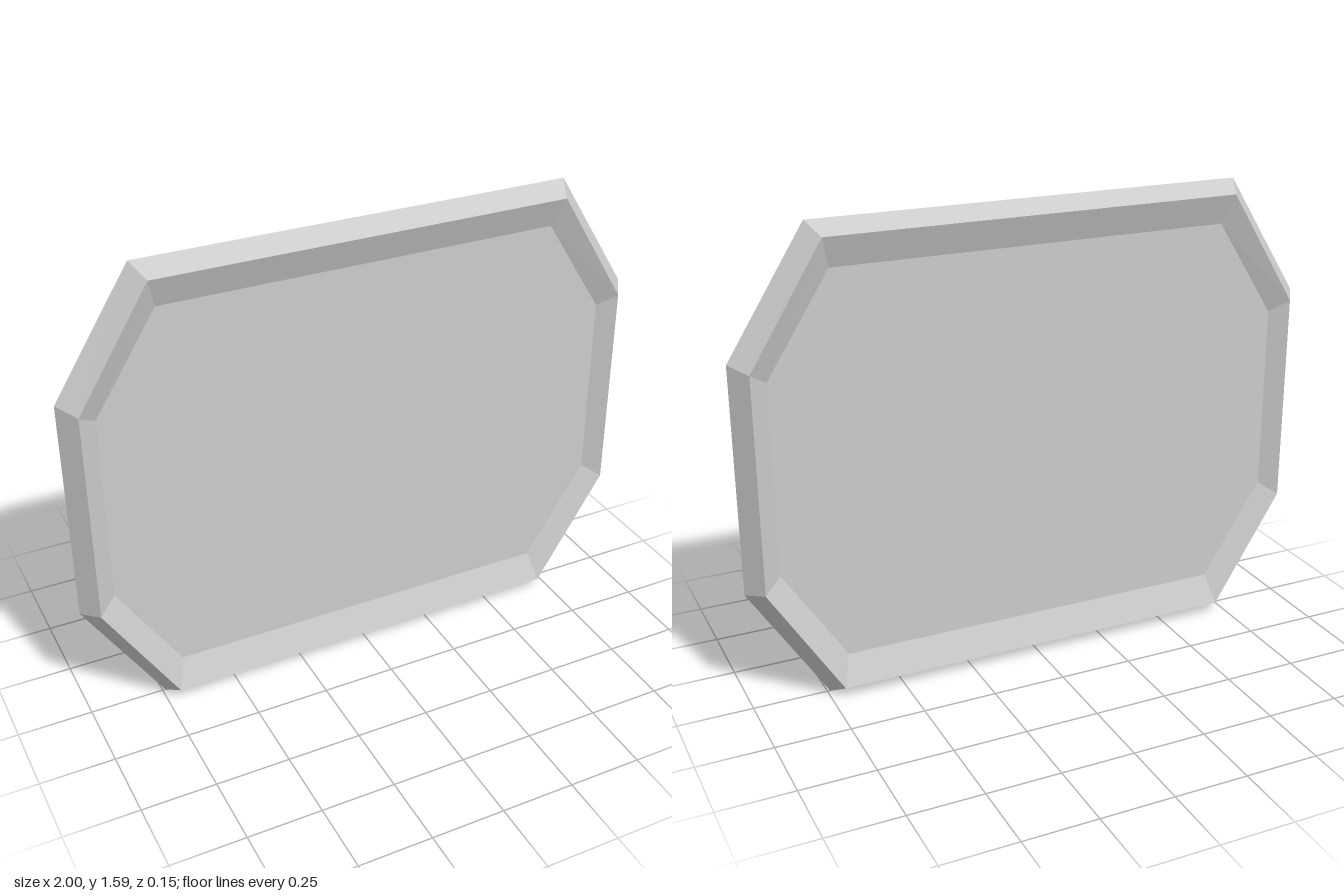
import * as THREE from 'three';

// Eight-sided outline at depth z, mirrored left-right and about the middle height:
// the flat bottom edge ends at (xEdge, yEdge), the upright side starts at (xSide, ySide)
const MID_Y = 0.795;
function ring(xEdge, xSide, yEdge, ySide, z) {
  const topEdge = 2 * MID_Y - yEdge, topSide = 2 * MID_Y - ySide;
  return [
    [xSide, ySide], [xSide, topSide], [xEdge, topEdge], [-xEdge, topEdge],
    [-xSide, topSide], [-xSide, ySide], [-xEdge, yEdge], [xEdge, yEdge],
  ].map(([x, y]) => new THREE.Vector3(x, y, z));
}

// Joins an outer ring to an inner one with flat facets
function band(outer, inner) {
  const points = [];
  for (let i = 0; i < 8; i++) {
    const j = (i + 1) % 8;
    points.push(outer[i], outer[j], inner[j], outer[i], inner[j], inner[i]);
  }
  return new THREE.BufferGeometry().setFromPoints(points);
}

// Flat panel that fills a ring
function panel(loop) {
  const points = [];
  for (let i = 1; i < 7; i++) points.push(loop[0], loop[i], loop[i + 1]);
  return new THREE.BufferGeometry().setFromPoints(points);
}

export function createModel() {
  const model = new THREE.Group();
  model.name = 'octagonalPanel';
  const material = new THREE.MeshStandardMaterial({ color: 0xcccccc, flatShading: true });

  const ridge = ring(0.74, 1.0, 0, 0.413, 0);
  const rim = ring(0.708, 0.95, 0.04, 0.431, 0.074);
  const floor = ring(0.68, 0.89, 0.143, 0.473, 0.035);

  const add = (parent, geometry, name) => {
    geometry.computeVertexNormals();
    const mesh = new THREE.Mesh(geometry, material);
    mesh.name = name;
    parent.add(mesh);
  };

  // Front and back halves are the same, turned half a turn about the upright axis
  for (const [name, turn] of [['frontHalf', 0], ['backHalf', Math.PI]]) {
    const half = new THREE.Group();
    half.name = name;
    half.rotation.y = turn;
    add(half, band(ridge, rim), 'outerBevel');
    add(half, band(rim, floor), 'innerBevel');
    add(half, panel(floor), 'recessedPanel');
    model.add(half);
  }
  return model;
}
